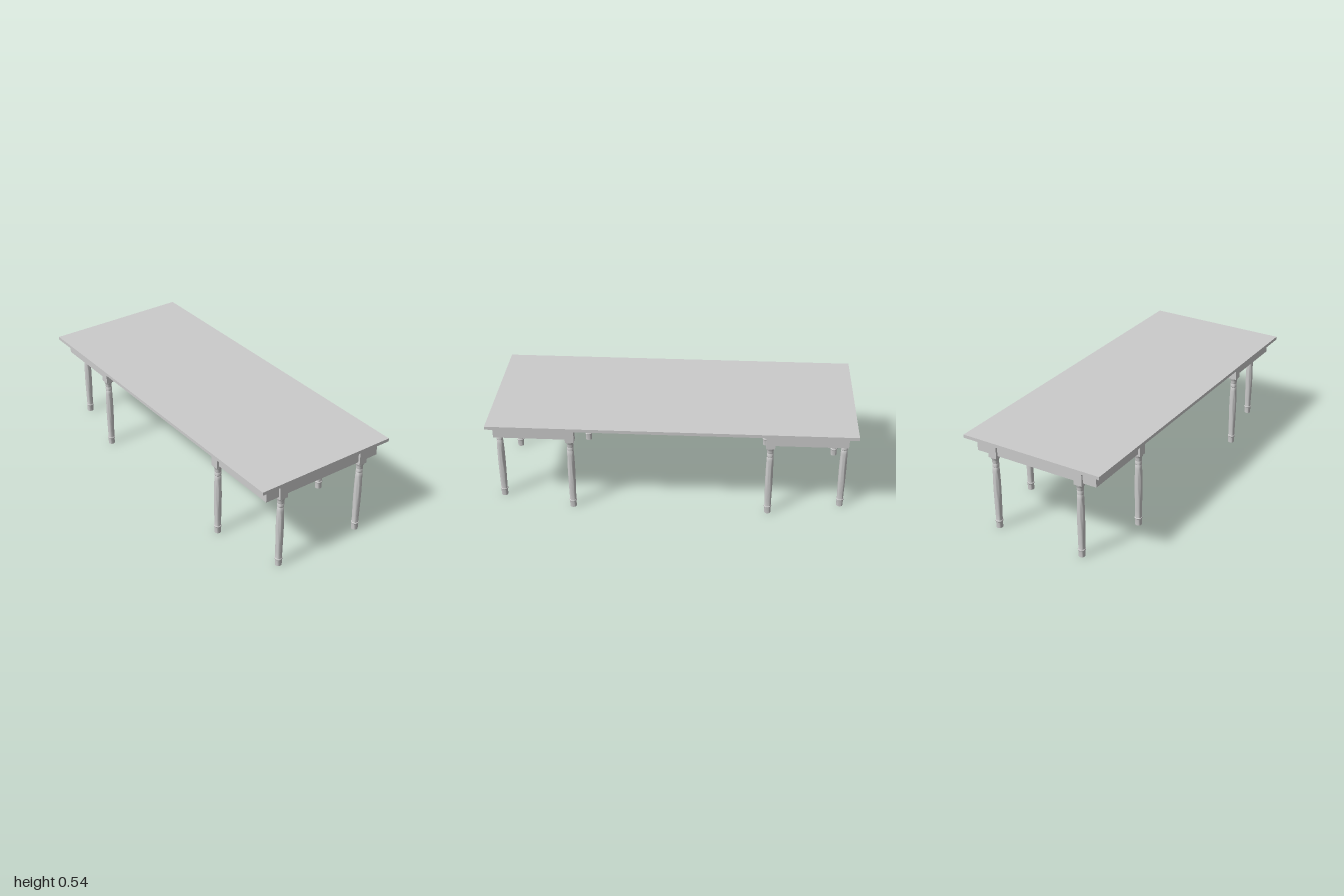
import * as THREE from 'three';
import { toCreasedNormals } from 'three/addons/utils/BufferGeometryUtils.js';

const material = new THREE.MeshStandardMaterial({ color: 0xcccccc });

function box(name, w, h, d, x, y, z) {
  const mesh = new THREE.Mesh(new THREE.BoxGeometry(w, h, d), material);
  mesh.name = name;
  mesh.position.set(x, y, z);
  return mesh;
}

// Turned leg profile as [radius, height], floor to post
const LEG_PROFILE = [
  [0, 0], [0.018, 0], [0.0185, 0.036],
  [0.0205, 0.038], [0.0212, 0.041], [0.0205, 0.044], [0.0178, 0.046], // foot ring
  [0.0185, 0.09], [0.02, 0.16], [0.0208, 0.23], [0.0203, 0.29], [0.0188, 0.345], [0.0178, 0.365],
  [0.0165, 0.367], [0.0165, 0.37], [0.018, 0.372], [0.018, 0.388], // neck rings
  [0.0168, 0.39], [0.0168, 0.394], [0.018, 0.396], [0.0178, 0.409],
  [0.0195, 0.414], [0.0225, 0.42], [0.0235, 0.427], [0, 0.427], // flare under the post
].map(([r, y]) => new THREE.Vector2(r, y));

const legGeometry = toCreasedNormals(new THREE.LatheGeometry(LEG_PROFILE, 24), 0.6);

const TOP_BOTTOM = 0.52;
const POST = 0.048;
const BOARD = 0.024;
const OUTER_X = 0.354;
const INNER_X = 0.263;

function leg(x, z) {
  const group = new THREE.Group();
  group.name = 'leg';
  const turned = new THREE.Mesh(legGeometry, material);
  turned.name = 'turnedLeg';
  const post = box('legPost', POST, TOP_BOTTOM - 0.427, POST, 0, (TOP_BOTTOM + 0.427) / 2, 0);
  group.add(turned, post);
  group.position.set(x, 0, z);
  return group;
}

// Four legs joined by a rectangle of apron boards
function base(name, endZ, innerZ) {
  const group = new THREE.Group();
  group.name = name;
  const h = TOP_BOTTOM - 0.441;
  const y = TOP_BOTTOM - h / 2;
  const s = Math.sign(endZ);
  group.add(box('endApron', 2 * OUTER_X + BOARD, h, BOARD, 0, y, endZ));
  group.add(box('crossApron', 2 * OUTER_X - POST, h, BOARD, 0, y, innerZ));
  const from = innerZ + s * POST / 2;
  const to = endZ - s * BOARD / 2;
  for (const side of [-1, 1]) {
    group.add(box('sideApron', BOARD, h, Math.abs(to - from), side * OUTER_X, y, (from + to) / 2));
    group.add(leg(side * INNER_X, endZ), leg(side * OUTER_X, innerZ));
  }
  group.position.x = -0.001;
  return group;
}

export function createModel() {
  const table = new THREE.Group();
  table.name = 'table';
  table.add(box('tableTop', 0.83, 0.018, 2, 0, TOP_BOTTOM + 0.009, 0));
  table.add(base('frontBase', 0.957, 0.551), base('backBase', -0.942, -0.536));
  return table;
}
